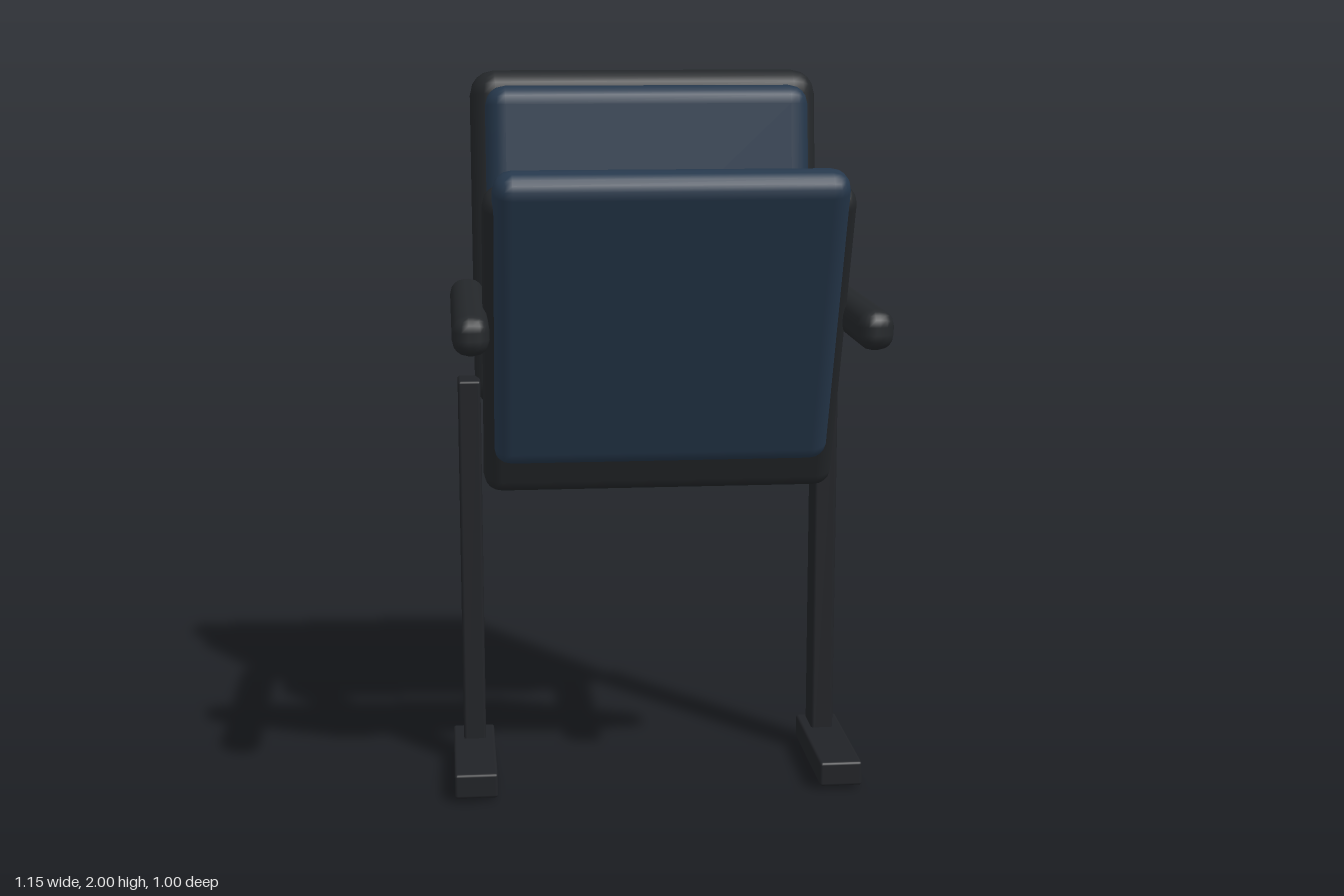
import * as THREE from 'three';
import { RoundedBoxGeometry } from 'three/addons/geometries/RoundedBoxGeometry.js';

const shellMat = new THREE.MeshStandardMaterial({ color: 0x24272a });
const fabricMat = new THREE.MeshStandardMaterial({ color: 0x26384c });
const frameMat = new THREE.MeshStandardMaterial({ color: 0x212327 });

// Rounded block: size and position as [x, y, z], tilted about x
function block(name, size, radius, position, material, tilt = 0) {
  const mesh = new THREE.Mesh(new RoundedBoxGeometry(...size, 2, radius), material);
  mesh.name = name;
  mesh.position.set(...position);
  mesh.rotation.x = tilt;
  return mesh;
}

export function createModel() {
  const chair = new THREE.Group();
  chair.name = 'foldingSeatChair';

  // Backrest, leaning slightly to the rear
  const lean = -0.12;
  const backrest = new THREE.Group();
  backrest.name = 'backrest';
  backrest.add(
    block('backShell', [0.99, 0.957, 0.16], 0.07, [0, 1.525, -0.37], shellMat, lean),
    block('backCushion', [0.91, 0.86, 0.12], 0.055, [0, 1.535, -0.24], fabricMat, lean)
  );
  chair.add(backrest);

  // Seat, folded up with its cushion facing forward
  const fold = 0.4;
  const seat = new THREE.Group();
  seat.name = 'seat';
  seat.add(
    block('seatShell', [0.96, 0.92, 0.11], 0.05, [0, 1.308, 0.188], shellMat, fold),
    block('seatCushion', [0.91, 0.865, 0.112], 0.05, [0, 1.373, 0.248], fabricMat, fold)
  );
  chair.add(seat);

  // Armrest, post and foot on each side
  for (const [label, s] of [['left', 1], ['right', -1]]) {
    const side = new THREE.Group();
    side.name = label + 'Side';
    side.add(
      block(label + 'Armrest', [0.095, 0.105, 0.815], 0.042, [s * 0.514, 1.372, 0.092], shellMat),
      block(label + 'Post', [0.064, 1.14, 0.11], 0.008, [s * 0.513, 0.57, -0.272], frameMat),
      block(label + 'Foot', [0.12, 0.07, 0.437], 0.008, [s * 0.515, 0.046, -0.127], frameMat)
    );
    chair.add(side);
  }
  return chair;
}
